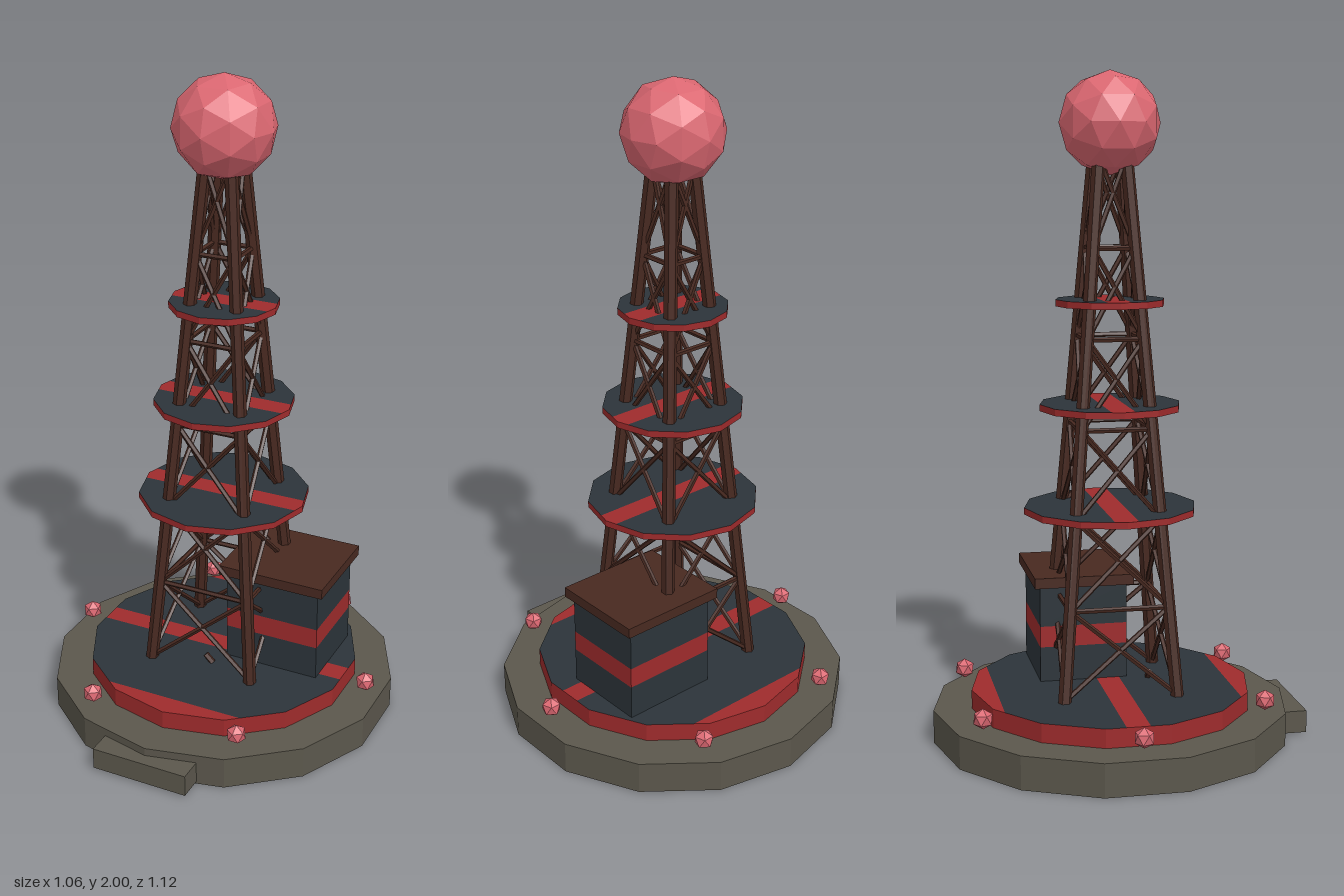
import * as THREE from 'three';

const mat = (name, color) => {
  const m = new THREE.MeshStandardMaterial({ color, flatShading: true });
  m.name = name;
  return m;
};

// Points of a regular polygon with a corner on the y axis
const polygon = (r, n) => Array.from({ length: n }, (_, i) => {
  const a = (i / n) * Math.PI * 2 + Math.PI / 2;
  return new THREE.Vector2(r * Math.cos(a), r * Math.sin(a));
});

// Keep the part of a convex polygon where s * (y - limit) >= 0
function clip(pts, limit, s) {
  const out = [];
  pts.forEach((p, i) => {
    const q = pts[(i + 1) % pts.length];
    const dp = s * (p.y - limit), dq = s * (q.y - limit);
    if (dp >= 0) out.push(p);
    if (dp * dq < 0) out.push(p.clone().lerp(q, dp / (dp - dq)));
  });
  return out;
}

export function createModel() {
  const stone = mat('stone', 0x5b574c);
  const slate = mat('slate', 0x2c343a);
  const red = mat('red', 0x9e2b2c);
  const brown = mat('brown', 0x482920);
  const pink = mat('pink', 0xdb6771);

  const model = new THREE.Group();
  model.name = 'beaconTower';
  // Everything round is centred on the tower axis
  const tower = new THREE.Group();
  tower.name = 'tower';
  tower.position.z = -0.022;
  model.add(tower);

  const add = (parent, name, geo, material, x = 0, y = 0, z = 0) => {
    const mesh = new THREE.Mesh(geo, material);
    mesh.name = name;
    mesh.position.set(x, y, z);
    parent.add(mesh);
    return mesh;
  };

  const beam = (parent, name, a, b, r, sides) => {
    const dir = b.clone().sub(a);
    const mesh = add(parent, name, new THREE.CylinderGeometry(r, r, dir.length(), sides), brown);
    mesh.position.copy(a).lerp(b, 0.5);
    mesh.quaternion.setFromUnitVectors(new THREE.Vector3(0, 1, 0), dir.normalize());
  };

  // Disc with a red rim and red stripes across its slate faces
  const stripedDisc = (name, r, sides, y, h) => {
    const group = new THREE.Group();
    group.name = name;
    const cuts = [-1, -0.355, -0.035, 0.035, 0.355, 1];
    for (let i = 0; i < 5; i++) {
      const pts = clip(clip(polygon(r, sides), cuts[i], 1), cuts[i + 1], -1);
      if (pts.length < 3) continue;
      const geo = new THREE.ExtrudeGeometry(new THREE.Shape(pts), { depth: h, bevelEnabled: false });
      geo.rotateX(-Math.PI / 2);
      add(group, i % 2 ? 'slateBand' : 'redStripe', geo, [i % 2 ? slate : red, red], 0, y, 0);
    }
    tower.add(group);
  };

  // Base, deck and the three platforms
  add(tower, 'base', new THREE.CylinderGeometry(0.543, 0.543, 0.1, 14), stone, 0, 0.05, 0);
  stripedDisc('deck', 0.427, 14, 0.1, 0.057);
  stripedDisc('lowerPlatform', 0.262, 12, 0.692, 0.02);
  stripedDisc('middlePlatform', 0.213, 12, 1.003, 0.02);
  stripedDisc('upperPlatform', 0.164, 12, 1.314, 0.02);

  // Front step
  add(model, 'step', new THREE.BoxGeometry(0.308, 0.068, 0.12), stone, 0, 0.041, 0.5);

  // Lattice: four leaning legs with cross braces
  const lattice = new THREE.Group();
  lattice.name = 'lattice';
  tower.add(lattice);
  const corner = (k, y) => {
    const half = THREE.MathUtils.mapLinear(y, 0.16, 1.75, 0.17, 0.041);
    const a = Math.PI / 4 + (k * Math.PI) / 2;
    return new THREE.Vector3(half * Math.SQRT2 * Math.cos(a), y, half * Math.SQRT2 * Math.sin(a));
  };
  for (let k = 0; k < 4; k++) {
    beam(lattice, 'leg', corner(k, 0.15), corner(k, 1.75), 0.02, 6);
    for (let i = 0; i < 6; i++) {
      const y0 = 0.16 + i * 0.265, y1 = y0 + 0.265;
      beam(lattice, 'brace', corner(k, y0), corner(k + 1, y1), 0.008, 5);
      beam(lattice, 'brace', corner(k + 1, y0), corner(k, y1), 0.008, 5);
      if (i < 5) beam(lattice, 'crossbar', corner(k, y1), corner(k + 1, y1), 0.008, 5);
    }
  }

  // Small stub lying on the deck
  beam(model, 'stub', new THREE.Vector3(-0.005, 0.182, 0.1), new THREE.Vector3(0.02, 0.158, 0.1), 0.01, 5);

  // Beacon globe
  add(tower, 'globe', new THREE.IcosahedronGeometry(0.152, 1), pink, 0, 1.848, 0);

  // Ring of lamps, each with a point upward
  const lampGeo = new THREE.IcosahedronGeometry(0.031, 0).rotateX(-Math.atan((1 + Math.sqrt(5)) / 2));
  for (let i = 0; i < 6; i++) {
    const a = (i * Math.PI) / 3;
    add(tower, 'lamp', lampGeo, pink, 0.487 * Math.cos(a), 0.15, 0.487 * Math.sin(a));
  }

  // Shed with a red band and a flat roof
  const shed = new THREE.Group();
  shed.name = 'shed';
  shed.position.set(0.192, 0, -0.097);
  model.add(shed);
  const wall = (name, y0, y1, m) =>
    add(shed, name, new THREE.BoxGeometry(0.305, y1 - y0, 0.27), m, 0, (y0 + y1) / 2, 0);
  wall('lowerWall', 0.15, 0.265, slate);
  wall('wallBand', 0.265, 0.33, red);
  wall('upperWall', 0.33, 0.455, slate);
  add(shed, 'roof', new THREE.BoxGeometry(0.345, 0.032, 0.306), brown, 0, 0.47, 0);

  return model;
}
